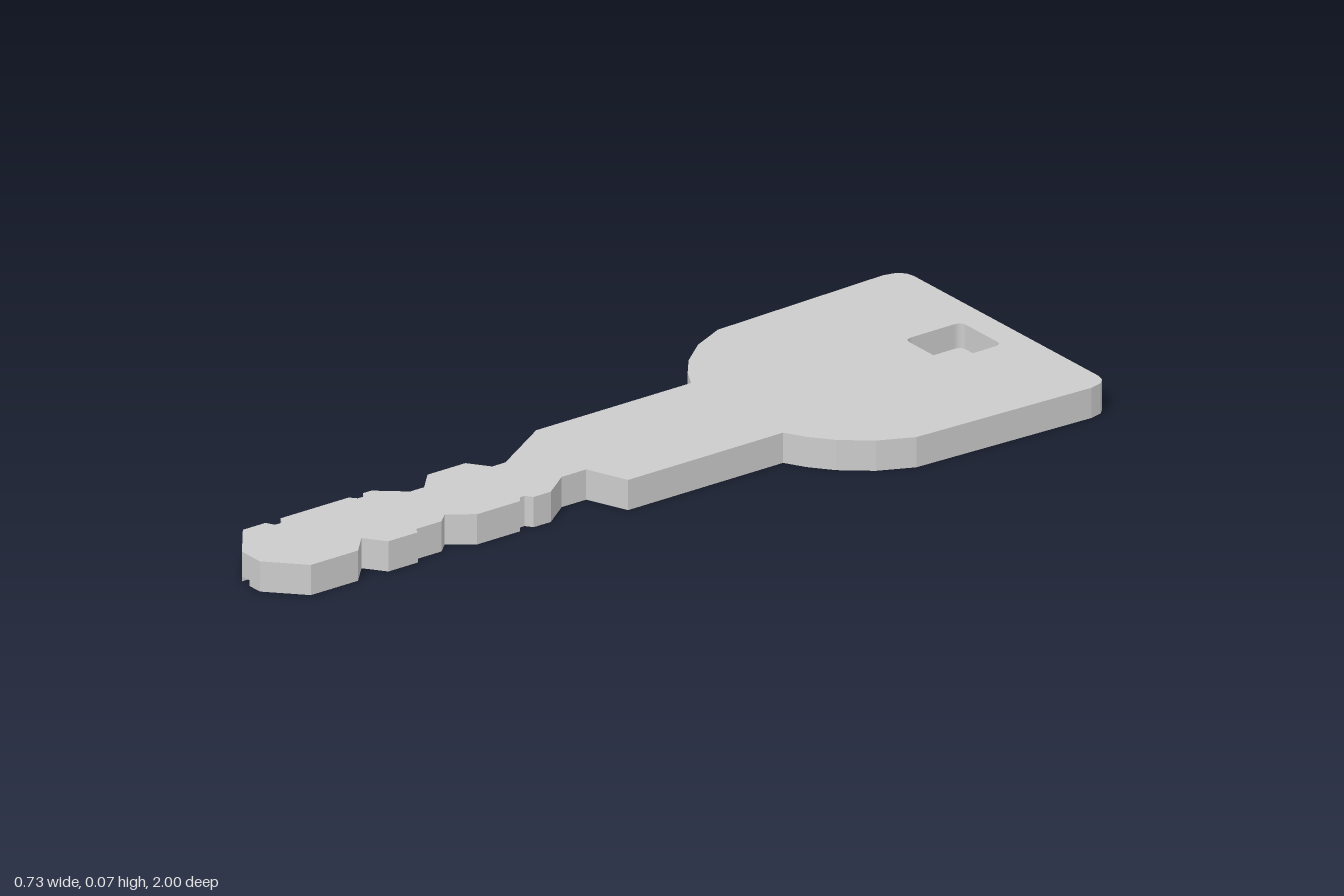
import * as THREE from 'three';

const THICK = 0.07;   // full thickness
const SKIN = 0.013;   // depth of the recesses cut into the underside

// Extrude a shape drawn in (x, z) so that it fills y0..y1
function slab(name, shape, y0, y1) {
  const geo = new THREE.ExtrudeGeometry(shape, { depth: y1 - y0, bevelEnabled: false, curveSegments: 8 });
  geo.rotateX(Math.PI / 2).translate(0, y1, 0);
  const mesh = new THREE.Mesh(geo, new THREE.MeshStandardMaterial({ color: 0xcccccc, flatShading: true }));
  mesh.name = name;
  return mesh;
}

const vectors = (pts) => pts.map(([x, z]) => new THREE.Vector2(x, z));

// Half of the bow, from the middle of its back edge to the neck
const headSide = [
  [0.325, -1], [0.345, -0.995], [0.36, -0.98], [0.367, -0.95],
  [0.35, -0.5], [0.313, -0.42], [0.26, -0.355], [0.21, -0.315], [0.162, -0.288],
];

// Cuts on the +x edge, running from shoulder to tip
const leftCuts = [
  [0.162, 0.122], [0.065, 0.16], [0.065, 0.225], [0.113, 0.29], [0.113, 0.335],
  [0.097, 0.347], [0.097, 0.36], [0.113, 0.372], [0.113, 0.485], [0.072, 0.54],
  [0.097, 0.567], [0.097, 0.635], [0.113, 0.642], [0.113, 0.72], [0.065, 0.755],
  [0.113, 0.8], [0.113, 0.925], [0.033, 1],
];

// Cuts on the -x edge, running from tip to shoulder
const rightCuts = [
  [-0.12, 0.93], [-0.12, 0.87], [-0.1, 0.86], [-0.1, 0.842], [-0.12, 0.83],
  [-0.12, 0.65], [-0.105, 0.637], [-0.105, 0.622], [-0.12, 0.612], [-0.12, 0.59],
  [-0.067, 0.527], [-0.067, 0.49], [-0.115, 0.445], [-0.115, 0.345],
  [-0.067, 0.31], [-0.067, 0.275],
];

// Milled grooves on the underside: one open at the tip, one at the sloping shoulder
const longGroove = [[-0.004, 1], [-0.004, 0], [-0.032, 0], [-0.032, 0.998]];
const shortGroove = [[-0.122, 0.185], [-0.122, -0.09], [-0.138, -0.09], [-0.138, 0.16]];

function outline(grooved) {
  return new THREE.Shape(vectors([
    ...headSide,
    ...leftCuts,
    ...(grooved ? longGroove : [[-0.03, 1]]),
    ...rightCuts,
    ...(grooved ? shortGroove : []),
    [-0.162, 0.122],
    ...headSide.map(([x, z]) => [-x, z]).reverse(),
  ]));
}

// Rounded square pocket for the key ring
function ringHole() {
  const w = 0.072, z0 = -0.935, z1 = -0.785, r = 0.02;
  const p = new THREE.Path();
  p.moveTo(-w + r, z0);
  p.lineTo(w - r, z0).quadraticCurveTo(w, z0, w, z0 + r);
  p.lineTo(w, z1 - r).quadraticCurveTo(w, z1, w - r, z1);
  p.lineTo(-w + r, z1).quadraticCurveTo(-w, z1, -w, z1 - r);
  p.lineTo(-w, z0 + r).quadraticCurveTo(-w, z0, -w + r, z0);
  return p;
}

// Wedge-shaped recess below the bow, with a curved end at the neck
function wedgeRecess() {
  const p = new THREE.Path();
  p.moveTo(-0.085, -0.77);
  p.lineTo(0.1, -0.335);
  p.quadraticCurveTo(0, -0.26, -0.1, -0.335);
  p.lineTo(-0.085, -0.77);
  return p;
}

export function createModel() {
  const key = new THREE.Group();
  key.name = 'key';

  // Main body with the pocket open at the top
  const body = outline(false);
  body.holes.push(ringHole());
  key.add(slab('keyBody', body, SKIN, THICK));

  // Thin underside layer carrying the grooves and the recess
  const base = outline(true);
  base.holes.push(wedgeRecess());
  key.add(slab('groovedUnderside', base, 0, SKIN));

  return key;
}
